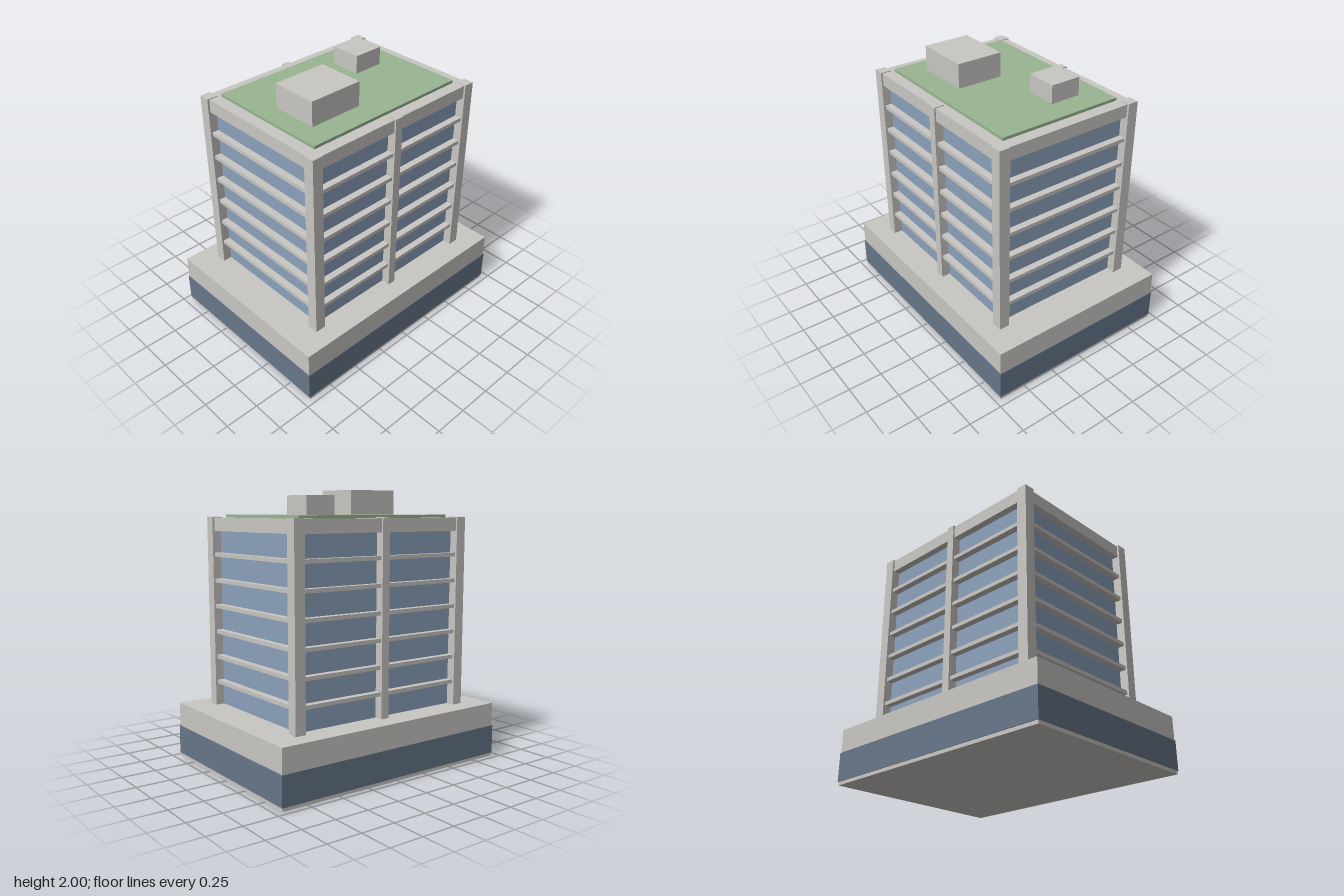
import * as THREE from 'three';

export function createModel() {
  const building = new THREE.Group();
  building.name = 'officeBuilding';

  const mat = (name, color) => {
    const m = new THREE.MeshStandardMaterial({ color });
    m.name = name;
    return m;
  };
  const concrete = mat('concrete', 0xc9c7c3);
  const glass = mat('blueGlass', 0x8ba1bb);
  const darkGlass = mat('darkGlass', 0x667689);
  const green = mat('roofGreen', 0x99b592);

  // Box given by its extents on each axis
  const box = (name, material, [x0, x1], [y0, y1], [z0, z1]) => {
    const mesh = new THREE.Mesh(new THREE.BoxGeometry(x1 - x0, y1 - y0, z1 - z0), material);
    mesh.position.set((x0 + x1) / 2, (y0 + y1) / 2, (z0 + z1) / 2);
    mesh.name = name;
    building.add(mesh);
  };
  const span = (half) => [-half, half];

  // Podium with a dark glazed band around it
  box('podium', concrete, span(0.945), [0, 0.412], span(0.708));
  box('podiumGlazing', darkGlass, span(0.95), [0.025, 0.238], span(0.713));

  // Glazed tower core
  box('towerGlazing', glass, span(0.685), [0.412, 1.71], span(0.505));

  // Projecting floor slabs
  for (let i = 0; i < 6; i++) {
    const y = 0.588 + i * 0.189;
    box('floorSlab', concrete, span(0.735), [y - 0.014, y + 0.014], span(0.555));
  }
  box('roofSlab', concrete, span(0.735), [1.705, 1.8], span(0.557));

  // Corner columns, and a mid column on the front and back
  const height = [0.412, 1.806];
  for (const sz of [-1, 1]) {
    const z = sz > 0 ? [0.49, 0.57] : [-0.57, -0.49];
    box('cornerColumn', concrete, [-0.75, -0.67], height, z);
    box('cornerColumn', concrete, [0.67, 0.75], height, z);
    box('midColumn', concrete, span(0.031), height, z);
  }

  // Planted roof and plant rooms
  box('greenRoof', green, span(0.648), [1.8, 1.821], span(0.471));
  box('largePlantRoom', concrete, [-0.502, -0.09], [1.81, 2], [-0.06, 0.29]);
  box('smallPlantRoom', concrete, [0.234, 0.467], [1.81, 1.954], [-0.295, -0.063]);

  return building;
}
